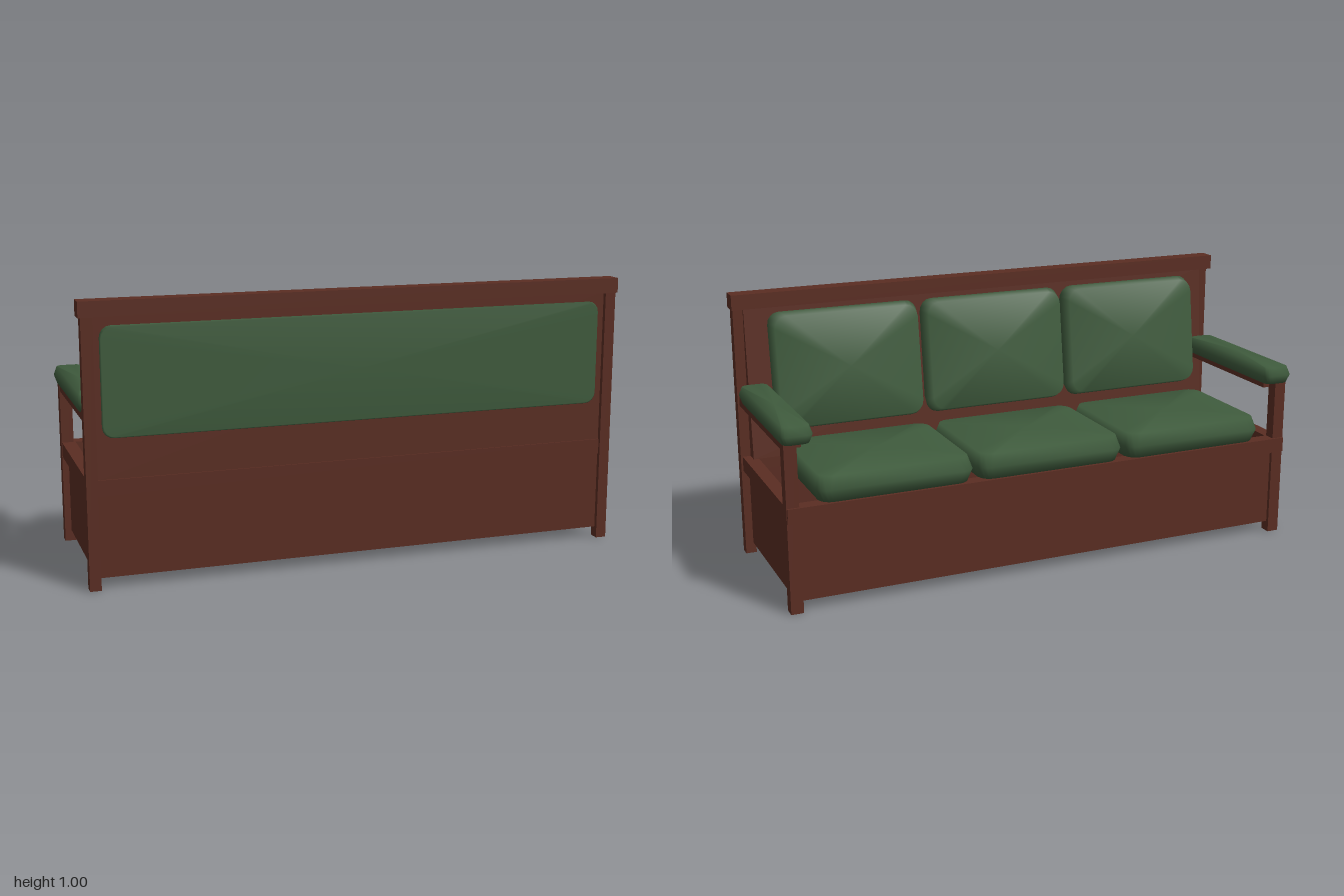
import * as THREE from 'three';
import { mergeVertices } from 'three/addons/utils/BufferGeometryUtils.js';

const wood = new THREE.MeshStandardMaterial({ color: 0x5a2d22 });
const fabric = new THREE.MeshStandardMaterial({ color: 0x3f5b3d });

// Box given by its limits on each axis
function board(name, [x0, x1], [y0, y1], [z0, z1]) {
  const mesh = new THREE.Mesh(new THREE.BoxGeometry(x1 - x0, y1 - y0, z1 - z0), wood);
  mesh.position.set((x0 + x1) / 2, (y0 + y1) / 2, (z0 + z1) / 2);
  mesh.name = name;
  return mesh;
}

// Rounded rectangle outline in the xz plane
function outline(w, d, r) {
  const points = [], steps = 4;
  const corners = [[1, 1], [-1, 1], [-1, -1], [1, -1]];
  corners.forEach(([sx, sz], c) => {
    for (let i = 0; i <= steps; i++) {
      const a = (c + i / steps) * Math.PI / 2;
      points.push([sx * (w / 2 - r) + r * Math.cos(a), sz * (d / 2 - r) + r * Math.sin(a)]);
    }
  });
  return points;
}

// Padded cushion: rings with a widest seam at mid height and a low peaked crown
function cushion(name, w, h, d, r, inset, crown) {
  const rings = [
    [-h / 2, null], [-h / 2, inset], [0, 0], [h / 2, inset], [h / 2 + crown, null],
  ].map(([y, cut]) => outline(w - 2 * (cut || 0), d - 2 * (cut || 0), r)
    .map(([x, z]) => (cut === null ? [0, y, 0] : [x, y, z])));
  const n = rings[0].length, index = [];
  for (let k = 0; k < rings.length - 1; k++) {
    for (let i = 0; i < n; i++) {
      const j = (i + 1) % n, a = k * n, b = a + n;
      if (k < rings.length - 2) index.push(a + i, b + i, b + j);
      else index.push(a + i, b + i, a + j);
      if (k > 0 && k < rings.length - 2) index.push(a + i, b + j, a + j);
    }
  }
  let geo = new THREE.BufferGeometry();
  geo.setAttribute('position', new THREE.Float32BufferAttribute(rings.flat(2), 3));
  geo.setIndex(index);
  geo = mergeVertices(geo, 1e-5);
  geo.computeVertexNormals();
  const mesh = new THREE.Mesh(geo, fabric);
  mesh.name = name;
  return mesh;
}

export function createModel() {
  const bench = new THREE.Group();
  bench.name = 'storageBench';

  // Box of thin panels, open underneath, with rails around the seat
  bench.add(
    board('frontPanel', [-0.96, 0.96], [0.04, 0.335], [-0.303, -0.293]),
    board('lowerBackPanel', [-0.96, 0.96], [0.04, 0.335], [0.312, 0.322]),
    board('frontRail', [-0.985, 0.985], [0.33, 0.385], [-0.324, -0.272]),
    board('rearRail', [-0.955, 0.955], [0.33, 0.387], [0.285, 0.328]),
    board('topRail', [-1, 1], [0.945, 1], [0.275, 0.34]),
  );

  // Backrest panel, sloped on the seat side
  const slope = new THREE.Shape([[0.25, 0.385], [0.322, 0.385], [0.322, 0.95], [0.29, 0.95]]
    .map(([z, y]) => new THREE.Vector2(z, y)));
  const geo = new THREE.ExtrudeGeometry(slope, { depth: 1.91, bevelEnabled: false });
  geo.translate(0, 0, -0.955);
  geo.rotateY(-Math.PI / 2);
  const backPanel = new THREE.Mesh(geo, wood);
  backPanel.name = 'backrestPanel';
  bench.add(backPanel);

  // Posts, side panels, arm rails and arm pads
  for (const s of [-1, 1]) {
    const side = s > 0 ? 'left' : 'right';
    const span = (a, b) => (s > 0 ? [a, b] : [-b, -a]);
    bench.add(
      board(side + 'BackPost', span(0.952, 0.992), [0, 0.95], [0.298, 0.338]),
      board(side + 'FrontPost', span(0.942, 0.987), [0, 0.65], [-0.316, -0.272]),
      board(side + 'SidePanel', span(0.953, 0.963), [0.04, 0.335], [-0.28, 0.305]),
      board(side + 'SideRail', span(0.935, 0.985), [0.33, 0.385], [-0.275, 0.3]),
      board(side + 'ArmRail', span(0.915, 0.985), [0.582, 0.616], [-0.275, 0.3]),
    );
    const pad = cushion(side + 'ArmPad', 0.115, 0.062, 0.6, 0.025, 0.01, 0.003);
    pad.position.set(s * 0.9425, 0.64, -0.04);
    bench.add(pad);
  }

  // Three seat cushions and three leaning back cushions
  for (const i of [-1, 0, 1]) {
    const seat = cushion('seatCushion', 0.575, 0.094, 0.487, 0.045, 0.014, 0.008);
    seat.position.set(i * 0.59, 0.431, -0.082);
    const back = cushion('backCushion', 0.575, 0.104, 0.435, 0.045, 0.014, 0.004);
    back.rotation.x = -Math.PI / 2 + 0.135;
    back.position.set(i * 0.59, 0.714, 0.234);
    bench.add(seat, back);
  }

  // Upholstered pad on the rear of the backrest
  const rearPad = cushion('rearPad', 1.86, 0.016, 0.385, 0.04, 0.005, 0.005);
  rearPad.rotation.x = Math.PI / 2;
  rearPad.position.set(0, 0.722, 0.323);
  bench.add(rearPad);

  return bench;
}
